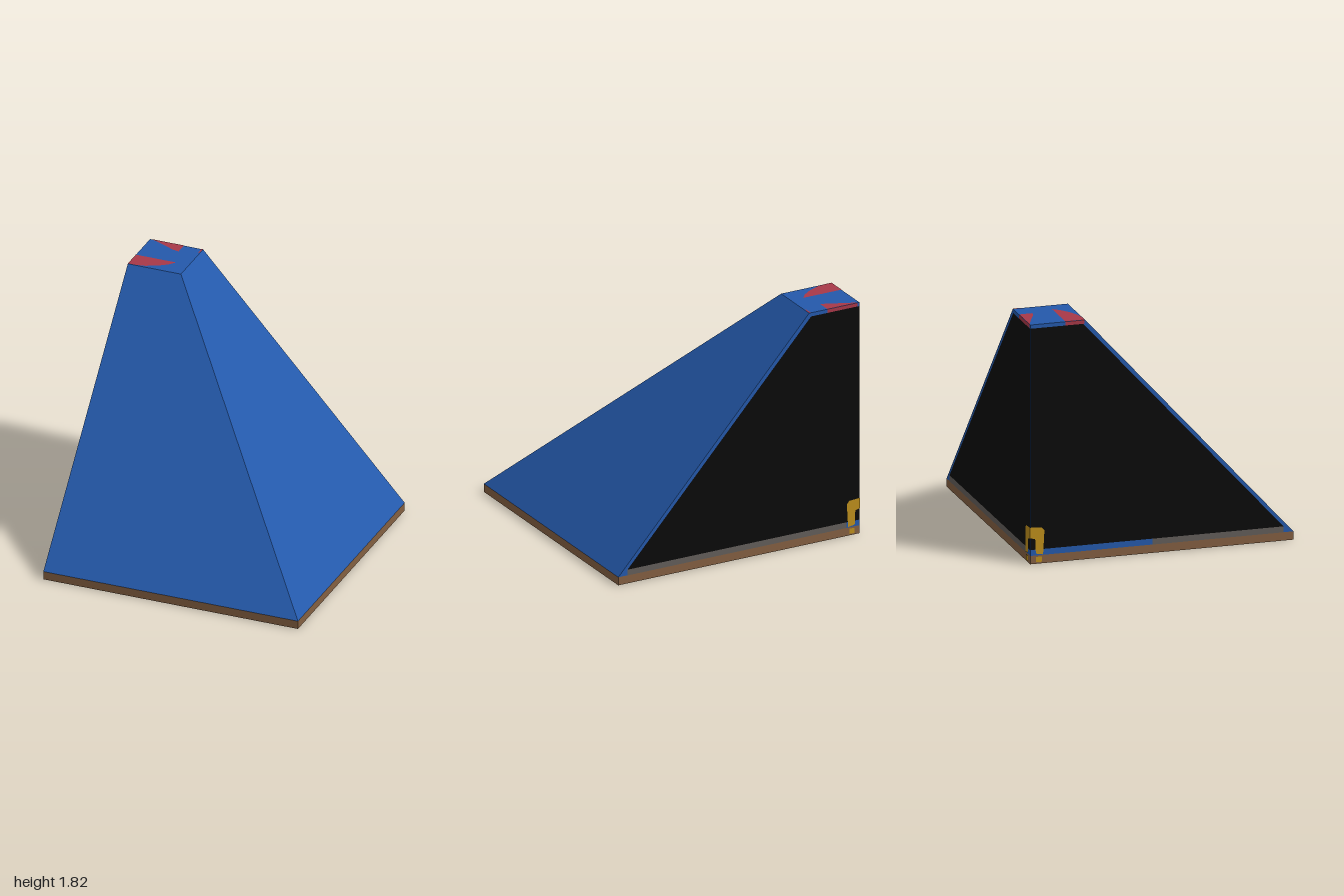
import * as THREE from 'three';

const mat = (name, color) => {
  const m = new THREE.MeshStandardMaterial({ color });
  m.name = name;
  return m;
};

// Each flat side: rotation that faces it outwards, and the mapping of its (u, v) coordinates
const SIDES = {
  back: { rot: [0, Math.PI, 0], map: (u, v) => [-u, v], at: (d) => [0, 0, -d] },
  left: { rot: [0, -Math.PI / 2, 0], map: (u, v) => [u, v], at: (d) => [-d, 0, 0] },
  top: { rot: [-Math.PI / 2, 0, 0], map: (u, v) => [u, -v], at: (d) => [0, d, 0] },
  bottom: { rot: [Math.PI / 2, 0, 0], map: (u, v) => [u, v], at: (d) => [0, -d, 0] },
};

export function createModel() {
  const group = new THREE.Group();
  group.name = 'cutPyramid';

  const blue = mat('blue', 0x2459ab);
  const brown = mat('brown', 0x835f41);
  const black = mat('black', 0x0a0a0a);
  const red = mat('red', 0xa83848);
  const gold = mat('gold', 0xbd8e1c);
  const mustard = mat('mustard', 0xcca424);
  const grey = mat('grey', 0x625d5a);

  const IN = 0.996;      // cut faces sit slightly inside the painted panels
  const BASE = 0.065;
  const TOP = 1.813;
  const EDGE = -0.58;    // inner edge of the flat top

  // Box whose upper corners are pulled in to topEdge on the +x and +z sides
  const block = (name, material, y0, y1, topEdge) => {
    const geo = new THREE.BoxGeometry(1, 1, 1);
    const p = geo.attributes.position;
    for (let i = 0; i < p.count; i++) {
      const up = p.getY(i) > 0;
      const far = up ? topEdge : 1;
      p.setXYZ(i, p.getX(i) > 0 ? far : -IN, up ? y1 : y0, p.getZ(i) > 0 ? far : -IN);
    }
    geo.computeVertexNormals();
    const mesh = new THREE.Mesh(geo, material);
    mesh.name = name;
    group.add(mesh);
  };

  // Painted flat panel on one side
  const panel = (name, material, side, depth, points) => {
    const s = SIDES[side];
    const shape = new THREE.Shape(points.map(([u, v]) => new THREE.Vector2(...s.map(u, v))));
    const mesh = new THREE.Mesh(new THREE.ShapeGeometry(shape), material);
    mesh.name = name;
    mesh.rotation.set(...s.rot);
    mesh.position.set(...s.at(depth));
    group.add(mesh);
  };
  const rect = (u0, u1, v0, v1) => [[u0, v0], [u1, v0], [u1, v1], [u0, v1]];

  block('base', brown, 0.002, BASE, 1);
  block('slopedBody', blue, BASE, TOP, EDGE);

  // The two upright cut faces: dark panel and a small gold arch folded round the corner
  for (const side of ['back', 'left']) {
    panel(side + 'DarkPanel', black, side, 0.998,
      [[-IN, 0.11], [0.925, 0.11], [-0.595, 1.785], [-IN, 1.785]]);
    panel(side + 'Arch', gold, side, 1,
      [[-1, 0.2], [-0.96, 0.19], [-0.955, 0.08], [-0.9, 0.07], [-0.89, 0.25], [-0.91, 0.275], [-1, 0.28]]);
    panel(side + 'ArchFoot', gold, side, 1, rect(-0.955, -0.91, 0.015, 0.055));
  }

  // Strips along the foot of the cut faces
  panel('backFloorStrip', grey, 'back', 0.998, rect(-0.89, 0.925, BASE, 0.11));
  panel('leftFloorStrip', grey, 'left', 0.998, rect(-0.07, 0.925, BASE, 0.11));

  // Red patches on the flat top
  panel('topCurvedPatch', red, 'top', 1.815,
    [[-IN, -0.73], [-0.68, -0.73], [-0.72, -0.68], [-0.79, -0.63], [-0.87, -0.595], [-0.94, -0.582], [-IN, -0.582]]);
  panel('topCornerPatch', red, 'top', 1.815,
    [[-0.98, -IN], [-0.73, -IN], [-0.73, -0.895], [-0.78, -0.905], [-0.86, -0.945]]);
  panel('topSliver', red, 'top', 1.815, [[-0.595, -IN], [-0.581, -IN], [-0.581, -0.95], [-0.59, -0.92]]);

  // Red folded over the top edge onto the cut faces
  panel('backTopTrim', red, 'back', 0.998, rect(-0.98, -0.73, 1.785, TOP));
  panel('leftTopTrim', red, 'left', 0.998, rect(-0.73, -0.585, 1.785, TOP));

  // Label under the base
  panel('undersideLabel', mustard, 'bottom', 0, rect(0.1, 0.79, 0.13, 0.87));

  return group;
}
